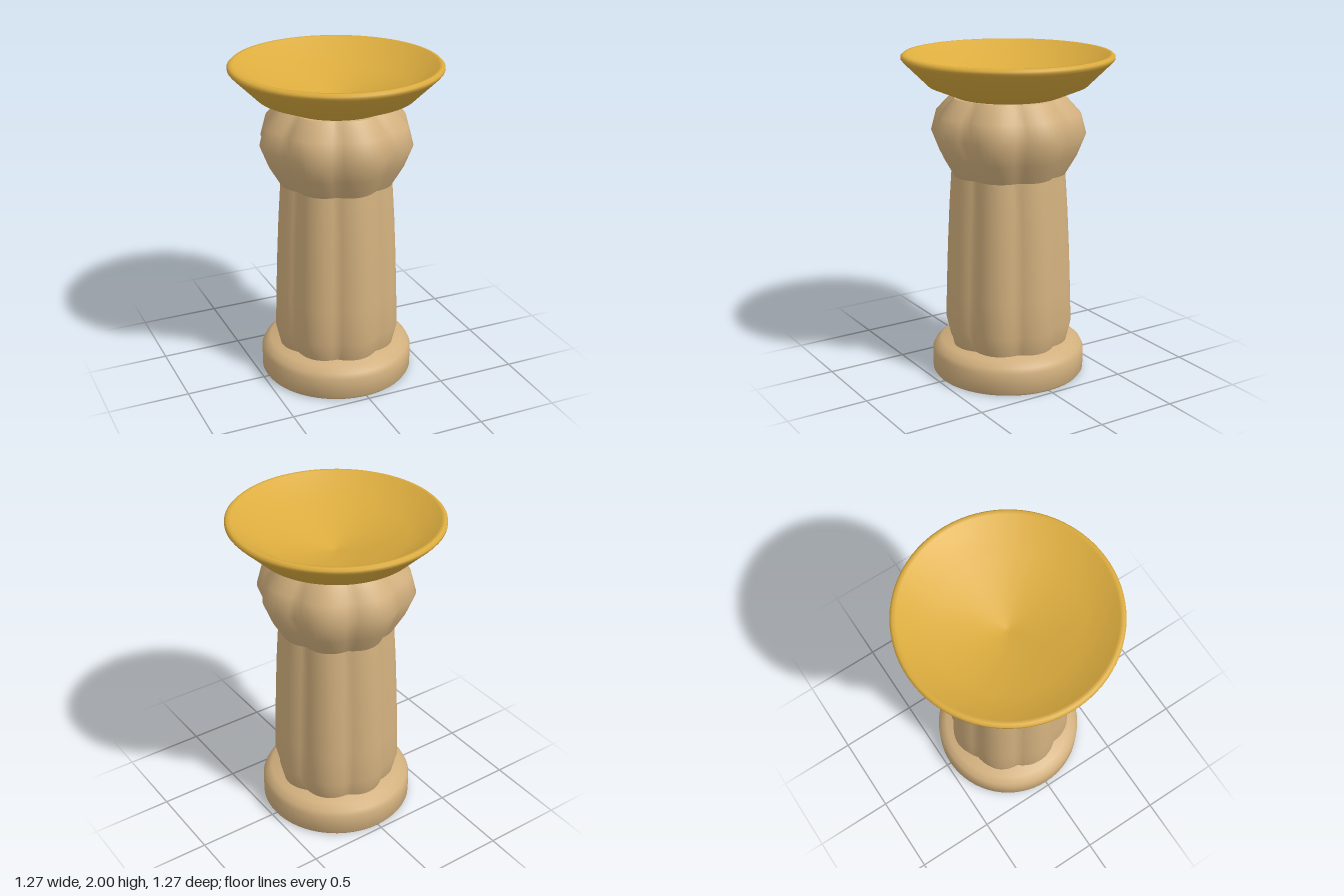
import * as THREE from 'three';
import { mergeVertices, toCreasedNormals } from 'three/addons/utils/BufferGeometryUtils.js';

const LOBES = 8;
const FLUTE_DEPTH = 0.08;

// Turned solid from [radius, height] points, listed from the bottom up the outside
function turned(points, segments) {
  return new THREE.LatheGeometry(points.map(([r, y]) => new THREE.Vector2(r, y)), segments);
}

// Joins the seam so normals run smoothly all the way round
function smooth(geometry) {
  geometry.deleteAttribute('uv');
  geometry.deleteAttribute('normal');
  const merged = mergeVertices(geometry, 1e-5);
  merged.computeVertexNormals();
  return merged;
}

// Turned solid with round lobes around it, meeting in narrow valleys
function lobed(points) {
  const geometry = turned(points, LOBES * 10);
  const p = geometry.attributes.position;
  for (let i = 0; i < p.count; i++) {
    const angle = Math.atan2(p.getX(i), p.getZ(i));
    const k = 1 - FLUTE_DEPTH * (1 - Math.abs(Math.cos(angle * LOBES / 2)));
    p.setXYZ(i, p.getX(i) * k, p.getY(i), p.getZ(i) * k);
  }
  return smooth(geometry);
}

export function createModel() {
  const stone = new THREE.MeshStandardMaterial({ color: 0xd2b07e });
  stone.name = 'tan stone';
  const gold = new THREE.MeshStandardMaterial({ color: 0xdcac3e });
  gold.name = 'gold';

  const model = new THREE.Group();
  model.name = 'pedestalBowl';
  const add = (name, geometry, material) => {
    const mesh = new THREE.Mesh(geometry, material);
    mesh.name = name;
    model.add(mesh);
  };

  // Round plinth with a softened top edge
  add('base', toCreasedNormals(smooth(turned([
    [0, 0], [0.465, 0], [0.475, 0.015], [0.475, 0.14],
    [0.46, 0.17], [0.42, 0.205], [0, 0.205],
  ], 64)), 0.9), stone);

  // Fluted, tapering shaft
  add('shaft', lobed([
    [0.355, 0.18], [0.368, 0.205], [0.398, 0.33], [0.391, 0.55],
    [0.381, 0.8], [0.368, 1.05], [0.352, 1.28],
  ]), stone);

  // Swelling lobed capital
  add('capital', lobed([
    [0.352, 1.28], [0.422, 1.4], [0.474, 1.53], [0.442, 1.65], [0.348, 1.75],
  ]), stone);
  add('capitalTop', lobed([[0.348, 1.75], [0, 1.75]]), stone);

  // Shallow dish with a rounded lip
  add('bowl', turned([
    [0, 1.745], [0.31, 1.745], [0.478, 1.815], [0.622, 1.957], [0.635, 1.973],
    [0.635, 1.988], [0.622, 2], [0.6, 2], [0.42, 1.875], [0.02, 1.78], [0, 1.78],
  ], 80), gold);

  return model;
}
